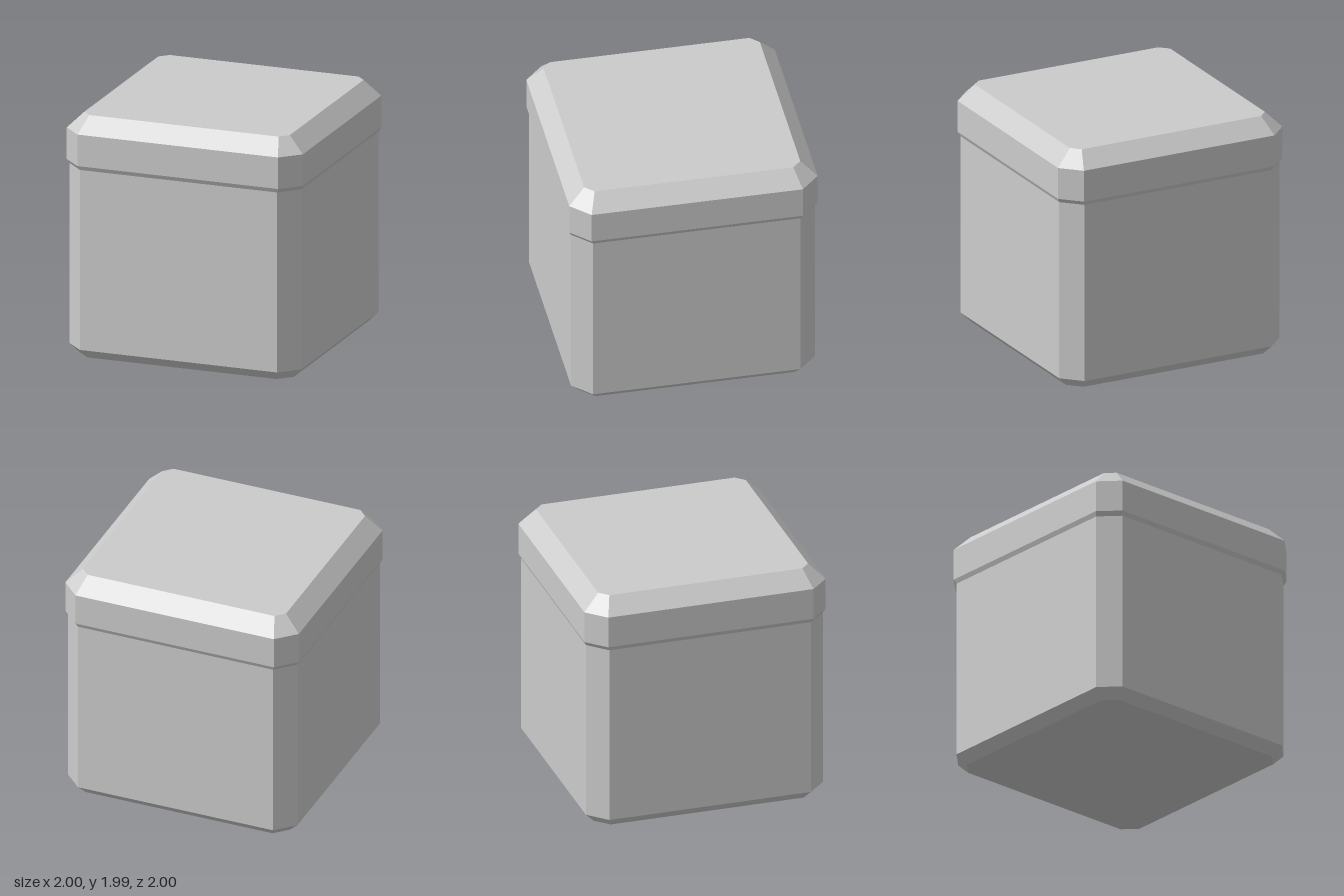
import * as THREE from 'three';

// Square outline with cut corners at height y: half = half width, flat = half length of the straight side
function ring([y, half, flat]) {
  const points = [];
  for (let k = 0; k < 4; k++) {
    for (let [u, v] of [[half, flat], [flat, half]]) {
      for (let r = 0; r < k; r++) [u, v] = [-v, u];
      points.push([u, y, -v]);
    }
  }
  return points;
}

// Faceted shell through stacked rings, with optional end caps
function loft(sections, { capBottom = false, capTop = false }) {
  const rings = sections.map(ring);
  const positions = [];
  const tri = (a, b, c) => positions.push(...a, ...b, ...c);
  for (let s = 0; s < rings.length - 1; s++) {
    const low = rings[s], high = rings[s + 1];
    for (let i = 0; i < 8; i++) {
      const j = (i + 1) % 8;
      tri(low[i], low[j], high[j]);
      tri(low[i], high[j], high[i]);
    }
  }
  const first = rings[0], last = rings[rings.length - 1];
  for (let i = 1; i < 7; i++) {
    if (capBottom) tri(first[0], first[i + 1], first[i]);
    if (capTop) tri(last[0], last[i], last[i + 1]);
  }
  const geometry = new THREE.BufferGeometry();
  geometry.setAttribute('position', new THREE.Float32BufferAttribute(positions, 3));
  geometry.computeVertexNormals();
  return geometry;
}

export function createModel() {
  const group = new THREE.Group();
  group.name = 'liddedBox';
  const material = new THREE.MeshStandardMaterial({ color: 0xcccccc, flatShading: true });
  const add = (name, geometry) => {
    const mesh = new THREE.Mesh(geometry, material);
    mesh.name = name;
    group.add(mesh);
  };

  // Box body with a bevelled foot
  add('body', loft([
    [0, 0.905, 0.8],
    [0.08, 0.983, 0.835],
    [1.565, 0.983, 0.835],
  ], { capBottom: true }));

  // Overhanging lid: small lip, upright band, sloped shoulder and flat top
  add('lid', loft([
    [1.565, 0.983, 0.835],
    [1.6, 1, 0.85],
    [1.86, 1, 0.85],
    [1.99, 0.87, 0.8],
  ], { capTop: true }));

  return group;
}
